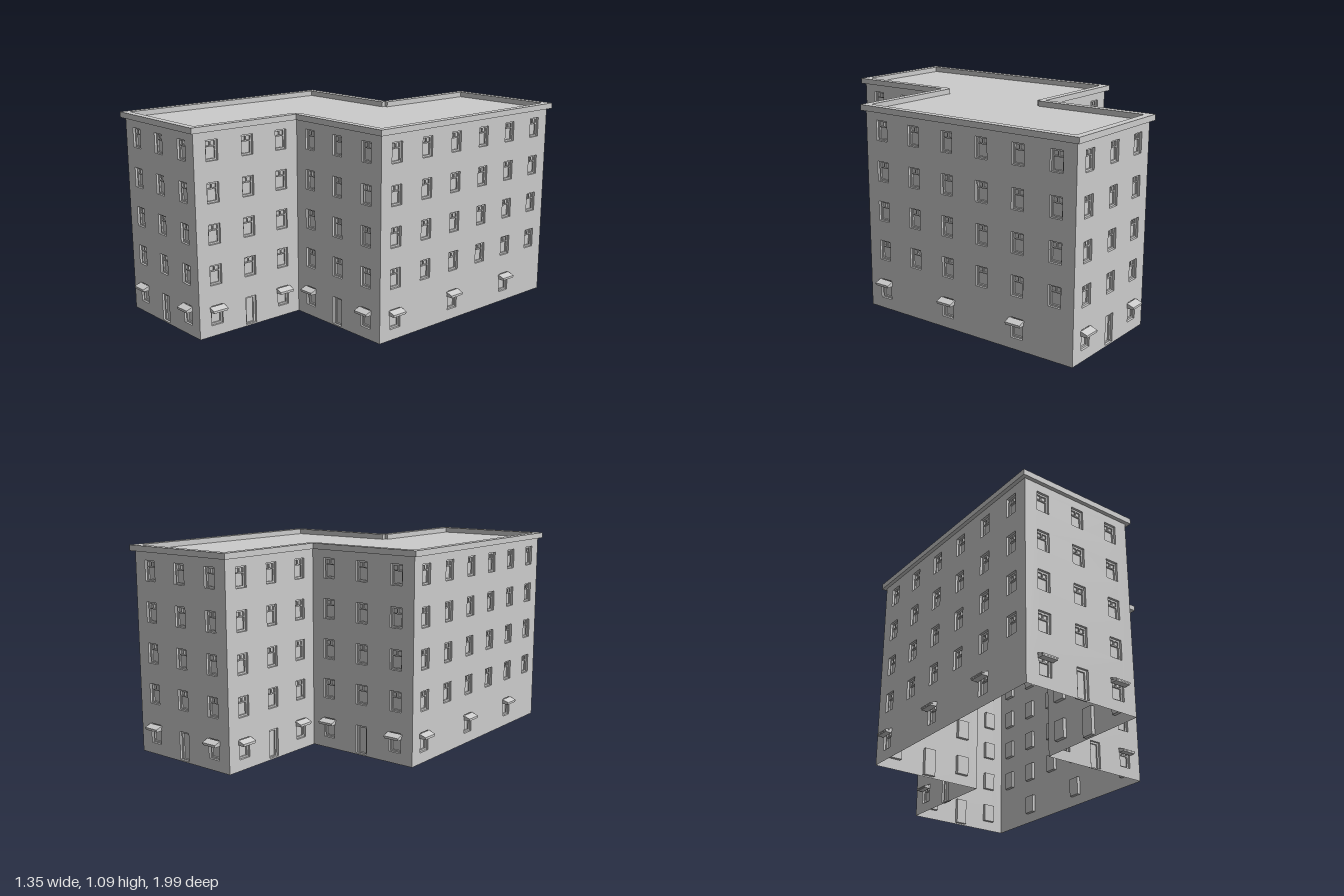
import * as THREE from 'three';

const BAY = 0.64 / 3, H = 1.06, RECESS = 0.02;
const WIN = { w: 0.07, h: 0.105 }, DOOR = { w: 0.066, h: 0.15 };

const mat = new THREE.MeshStandardMaterial({ color: 0xcccccc, flatShading: true, side: THREE.DoubleSide });

function mesh(geometry, name) {
  const m = new THREE.Mesh(geometry, mat);
  m.name = name;
  return m;
}

function rectPath(x0, y0, x1, y1, Type = THREE.Path) {
  return new Type([[x0, y0], [x1, y0], [x1, y1], [x0, y1]].map(p => new THREE.Vector2(...p)));
}

// Four sides of a recess, open at the front and back
function revealGeometry(w, h) {
  const g = new THREE.BoxGeometry(w, h, RECESS).translate(0, h / 2, -RECESS / 2);
  g.setIndex(Array.from(g.index.array).slice(0, 24));
  g.clearGroups();
  return g;
}

// Frame with rectangular openings; origin at the bottom centre
function frameGeometry(w, h, openings) {
  const s = rectPath(-w / 2, 0, w / 2, h, THREE.Shape);
  s.holes = openings.map(o => rectPath(...o));
  return new THREE.ExtrudeGeometry(s, { depth: 0.008, bevelEnabled: false }).translate(0, 0, -RECESS);
}

function paneGeometry(w, h) {
  return new THREE.PlaneGeometry(w, h).translate(0, h / 2, -RECESS);
}

const t = 0.009, split = WIN.h * 0.68, hw = WIN.w / 2;
const windowParts = {
  windowReveal: revealGeometry(WIN.w, WIN.h),
  windowFrame: frameGeometry(WIN.w, WIN.h, [
    [-hw + t, t, hw - t, split - 0.003],
    [-hw + t, split + 0.003, -0.003, WIN.h - t],
    [0.003, split + 0.003, hw - t, WIN.h - t],
  ]),
  windowGlass: paneGeometry(WIN.w, WIN.h),
};
const doorParts = {
  doorReveal: revealGeometry(DOOR.w, DOOR.h),
  doorFrame: frameGeometry(DOOR.w, DOOR.h, [[-DOOR.w / 2 + 0.011, 0.004, DOOR.w / 2 - 0.011, DOOR.h - 0.011]]),
  doorPanel: paneGeometry(DOOR.w, DOOR.h),
};

// Awning profile (outward, up), extruded along the wall
function awningPart(points, width) {
  const s = new THREE.Shape(points.map(p => new THREE.Vector2(...p)));
  return new THREE.ExtrudeGeometry(s, { depth: width, bevelEnabled: false })
    .translate(0, 0, -width / 2).rotateY(-Math.PI / 2);
}
const awningParts = {
  awningRoof: awningPart([[0, 0.152], [0.037, 0.14], [0.037, 0.147], [0, 0.16]], 0.088),
  awningValance: awningPart([[0, 0.134], [0.035, 0.134], [0.035, 0.1405], [0, 0.152]], 0.084),
};

function assembly(name, parts, x, y) {
  const g = new THREE.Group();
  g.name = name;
  for (const [n, geo] of Object.entries(parts)) g.add(mesh(geo, n));
  g.position.set(x, y, 0);
  return g;
}

// One facade: local x runs along the wall, z points outwards
function facade(name, bays, x, z, angle) {
  const g = new THREE.Group();
  g.name = name;
  const wall = rectPath(0, 0, bays * BAY, H, THREE.Shape);
  const hole = (cx, y, s) => wall.holes.push(rectPath(cx - s.w / 2, y, cx + s.w / 2, y + s.h));
  for (let b = 0; b < bays; b++) {
    const cx = (b + 0.5) * BAY;
    for (let floor = 0; floor < 5; floor++) {
      const y = 0.058 + floor * BAY;
      if (floor === 0 && b % 2 === 1) {
        // Odd bays have a door on short walls and nothing on long ones
        if (bays === 3) {
          hole(cx, 0.008, DOOR);
          g.add(assembly('door', doorParts, cx, 0.008));
        }
        continue;
      }
      hole(cx, y, WIN);
      g.add(assembly('window', windowParts, cx, y));
      if (floor === 0) g.add(assembly('awning', awningParts, cx, 0));
    }
  }
  g.add(mesh(new THREE.ShapeGeometry(wall), 'wall'));
  g.position.set(x, 0, z);
  g.rotation.y = angle;
  return g;
}

// Half of a plan outline, completed by a half turn about the centre (x, z)
function planPoints(half) {
  return [...half, ...half.map(([x, z]) => [-x, -z])].map(([x, z]) => new THREE.Vector2(x, -z));
}

export function createModel() {
  const model = new THREE.Group();
  model.name = 'apartmentBuilding';

  // Two identical halves of the Z-shaped plan
  for (let i = 0; i < 2; i++) {
    const half = new THREE.Group();
    half.name = i ? 'backHalf' : 'frontHalf';
    half.add(
      facade('endFacade', 3, -0.64, 0.96, 0),
      facade('courtSideFacade', 3, 0, 0.96, Math.PI / 2),
      facade('courtFacade', 3, 0, 0.32, 0),
      facade('longFacade', 6, 0.64, 0.32, Math.PI / 2),
    );
    half.rotation.y = i * Math.PI;
    model.add(half);
  }

  // Flat roof
  const roof = new THREE.Shape(planPoints([[-0.64, 0.96], [0, 0.96], [0, 0.32], [0.64, 0.32]]));
  const roofMesh = mesh(new THREE.ShapeGeometry(roof).rotateX(-Math.PI / 2), 'roof');
  roofMesh.position.y = H + 0.002;
  model.add(roofMesh);

  // Overhanging parapet ring with small steps at the inner corners
  const ring = new THREE.Shape(planPoints([[-0.66, 0.98], [0.02, 0.98], [0.02, 0.34], [0.66, 0.34]]));
  ring.holes.push(new THREE.Path(planPoints(
    [[-0.62, 0.94], [-0.02, 0.94], [-0.02, 0.32], [0, 0.32], [0, 0.3], [0.62, 0.3]])));
  const parapet = mesh(new THREE.ExtrudeGeometry(ring, { depth: 0.03, bevelEnabled: false }).rotateX(-Math.PI / 2), 'parapet');
  parapet.position.y = H;
  model.add(parapet);

  return model;
}
